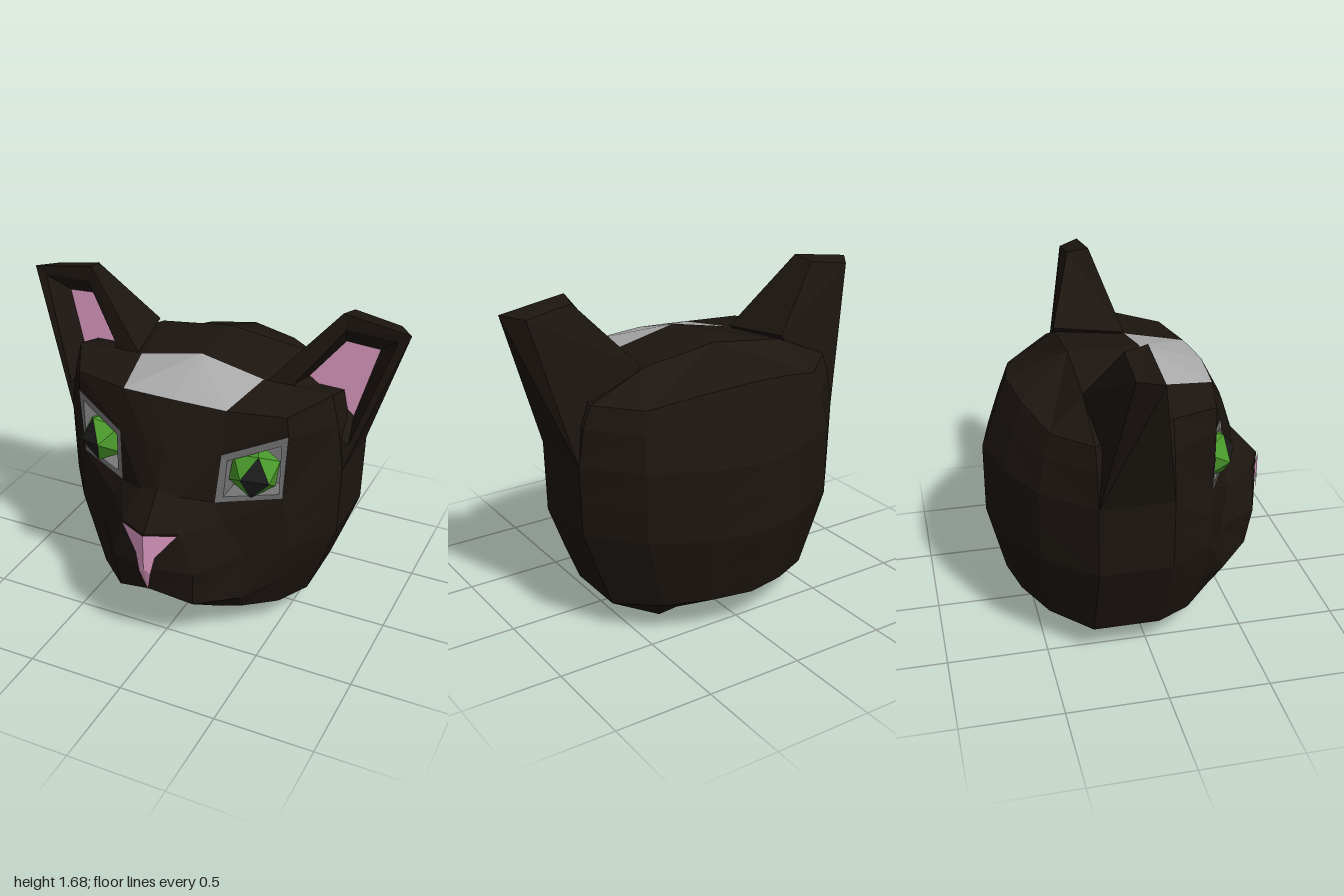
import * as THREE from 'three';

const DARK = 0x1c1510, PINK = 0xd998be, GREEN = 0x4a9a2c;

// Fan of triangles over a counter-clockwise outline
const poly = (pts) => pts.slice(2).map((p, i) => [pts[0], pts[i + 1], p]);
// Band of faces between two loops with matching corners
const bridge = (a, b) => a.flatMap((p, i) => {
  const j = (i + 1) % a.length;
  return poly([p, a[j], b[j], b[i]]);
});
const shiftZ = (pts, d) => pts.map(([x, y, z]) => [x, y, z + d]);

// Flat-shaded mesh from triangles; side = -1 mirrors, 0 gives both halves
function part(name, color, tris, side = 0) {
  const flip = ([a, b, c]) => [a, c, b].map(([x, y, z]) => [-x, y, z]);
  const all = [...(side >= 0 ? tris : []), ...(side <= 0 ? tris.map(flip) : [])];
  const geo = new THREE.BufferGeometry();
  geo.setAttribute('position', new THREE.Float32BufferAttribute(all.flat(2), 3));
  geo.computeVertexNormals();
  const mesh = new THREE.Mesh(geo, new THREE.MeshStandardMaterial({ color, flatShading: true }));
  mesh.name = name;
  return mesh;
}

// Face half, bottom to top: centre line, muzzle, cheek, temple
const FACE = [
  [[0, .05, .04], [.32, 0, .04], [.32, 0, .04], [.32, 0, .04]],
  [[0, .2, .45], [.27, .18, .42], [.36, .17, .36], [.5, .15, .22]],
  [[0, .38, .68], [.2, .3, .61], [.38, .28, .44], [.53, .34, .28]],
  [[0, .53, .72], [.22, .5, .64], [.39, .53, .42], [.58, .55, .3]],
  [[0, .72, .72], [.15, .72, .65], [.3, .72, .47], [.57, .7, .31]],
  [[0, .89, .57], [.1, .86, .55], [.25, .82, .46], [.54, .84, .32]],
  [[0, 1.1, .5], [.1, 1.09, .49], [.27, 1.07, .43], [.56, 1.18, .32]],
  [[0, 1.29, .4], [.15, 1.285, .39], [.27, 1.28, .38], [.55, 1.28, .32]],
];
// Back half of each level: half width, side height, front z, rear height, rear depth, sag
const BACK = [
  [.32, 0, .04, .05, .32, 0],
  [.59, .15, .05, .2, .63, 0],
  [.665, .35, .07, .38, .675, 0],
  [.74, .56, .08, .56, .72, 0],
  [.745, .74, .08, .74, .72, 0],
  [.75, .92, .08, .92, .72, 0],
  [.72, 1.15, .08, 1.1, .655, .04],
  [.68, 1.31, .08, 1.28, .59, .1],
];
const ROWS = FACE.map((front, r) => {
  const [w, y, z, yb, d, sag] = BACK[r];
  const rear = [[1, 0, 0, 1], [.71, .5, .55, 1], [.35, .85, .86, .3], [0, 1, 1, 0]];
  return [...front, [w, y, z], ...rear.map(([kx, ky, kz, ks]) =>
    [w * kx, y + (yb - y) * ky - sag * ks, -.28 - (d - .28) * kz])];
});

function buildHead() {
  const fur = [], chin = [];
  for (let r = 0; r < 7; r++) {
    for (let c = 0; c < 8; c++) {
      if (r === 5 && c === 2) continue; // eye opening
      const cell = poly([ROWS[r][c], ROWS[r][c + 1], ROWS[r + 1][c + 1], ROWS[r + 1][c]]);
      (c === 0 && r < 2 ? chin : fur).push(...cell);
    }
  }
  // Underside and crown
  const b = ROWS[0], t = ROWS[7];
  const m0 = [0, 1.39, .08], m1 = [.33, 1.32, .08], n0 = [0, 1.39, -.28], n1 = [.39, 1.34, -.28];
  fur.push(
    ...poly([b[0], b[8], b[7], b[6], b[5], b[4]]),
    ...poly([t[2], t[3], t[4], m1]),
    ...poly([m0, m1, n1, n0]),
    ...poly([m1, t[4], t[5], n1]),
    ...poly([n1, t[5], t[6]]),
    ...poly([n0, n1, t[6], t[7], t[8]]),
  );
  const crown = poly([m0, t[0], t[1], t[2], m1]);
  return [part('headFur', DARK, fur), part('chinPatch', 0x999999, chin), part('foreheadPatch', 0xaaaaaa, crown)];
}

function buildNose() {
  const outline = [[0, .53, .72], [.03, .5, .708], [.052, .6, .698], [.15, .72, .65], [0, .72, .72]];
  const tip = [[0, .53, .72], [0, .38, .68], [.03, .5, .708]];
  return part('nose', PINK, [...poly(shiftZ(outline, .01)), ...poly(shiftZ(tip, .01))]);
}

function buildEye(side) {
  const eye = new THREE.Group();
  // Frame and recessed socket
  const rim = [ROWS[5][2], ROWS[5][3], ROWS[6][3], ROWS[6][2]];
  const inner = [[.285, .85, .44], [.525, .865, .33], [.53, 1.13, .33], [.295, 1.04, .42]];
  const floor = shiftZ(inner, -.12);
  eye.add(part('eyeFrame', 0x707070, bridge(rim, inner), side));
  eye.add(part('eyeSocket', 0x777777, [...bridge(inner, floor), ...poly(floor)], side));

  // Faceted eyeball whose two foremost faces form the pupil
  const R = .132;
  const ball = new THREE.IcosahedronGeometry(R, 0).rotateZ(Math.PI / 2);
  const local = ball.attributes.position;
  const turned = ball.clone().rotateZ(-.15).rotateY(.4).translate(.4, .97, .335).attributes.position;
  const iris = [], pupil = [];
  for (let i = 0; i < local.count; i += 3) {
    const z = (local.getZ(i) + local.getZ(i + 1) + local.getZ(i + 2)) / 3;
    const tri = [0, 1, 2].map((k) => new THREE.Vector3().fromBufferAttribute(turned, i + k).toArray());
    (z > .6 * R ? pupil : iris).push(tri);
  }
  eye.add(part('iris', GREEN, iris, side), part('pupil', 0x1c1c1c, pupil, side));
  return eye;
}

function buildEar(side) {
  const ear = new THREE.Group();
  // Loops run lower outer, top outer, top inner, lower inner
  const back = [[.75, .92, -.28], [.92, 1.62, -.15], [.69, 1.66, -.15], [.41, 1.35, -.28]];
  const rim = [[.75, .92, .08], [1, 1.63, -.04], [.67, 1.68, -.04], [.35, 1.32, .08]];
  const lip = [[.765, 1.05, .06], [.94, 1.59, -.04], [.69, 1.6, -.035], [.48, 1.32, .06]];
  const lining = [[.74, 1.14, -.08], [.84, 1.5, -.11], [.67, 1.51, -.11], [.5, 1.3, -.09]];
  ear.add(part('earShell', DARK, [
    ...bridge(back, rim), ...bridge(rim, lip), ...bridge(lip, lining), ...poly([...back].reverse()),
  ], side));
  ear.add(part('earLining', PINK, poly(lining), side));
  return ear;
}

export function createModel() {
  const model = new THREE.Group();
  model.name = 'catHead';
  model.add(...buildHead(), buildNose());
  for (const [side, label] of [[1, 'left'], [-1, 'right']]) {
    const eye = buildEye(side), ear = buildEar(side);
    eye.name = label + 'Eye';
    ear.name = label + 'Ear';
    model.add(eye, ear);
  }
  return model;
}
